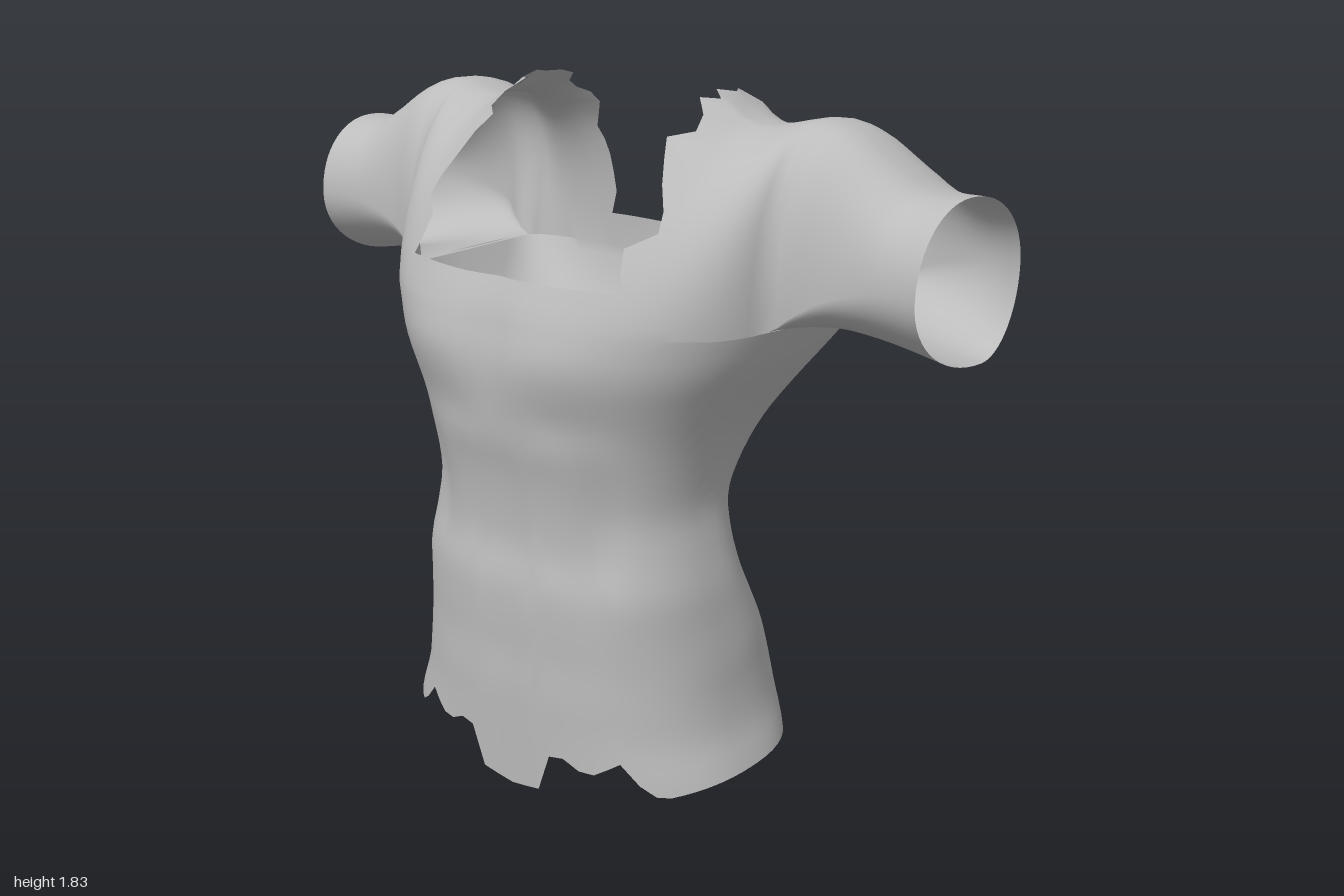
import * as THREE from 'three';
import { mergeVertices } from 'three/addons/utils/BufferGeometryUtils.js';

// Torso rings: height, half width, front z, back z, middle z, front and back roundness
const RINGS = [
  [0.0, 0.57, 0.365, -0.375, 0.0, 2.4, 2.2],
  [0.1, 0.545, 0.37, -0.42, 0.0, 2.4, 2.2],
  [0.2, 0.505, 0.375, -0.43, 0.0, 2.4, 2.2],
  [0.3, 0.485, 0.38, -0.41, 0.0, 2.4, 2.2],
  [0.4, 0.475, 0.38, -0.365, 0.0, 2.4, 2.2],
  [0.5, 0.46, 0.385, -0.3, 0.02, 2.4, 2.3],
  [0.6, 0.445, 0.385, -0.24, 0.05, 2.4, 2.4],
  [0.7, 0.42, 0.37, -0.215, 0.06, 2.4, 2.5],
  [0.8, 0.4, 0.375, -0.225, 0.05, 2.4, 2.5],
  [0.9, 0.41, 0.39, -0.28, 0.03, 2.4, 2.6],
  [1.0, 0.44, 0.415, -0.33, 0.0, 2.3, 2.9],
  [1.1, 0.49, 0.43, -0.37, -0.04, 2.3, 3.6],
  [1.2, 0.55, 0.435, -0.4, -0.07, 2.3, 5],
  [1.3, 0.6, 0.42, -0.425, -0.1, 2.3, 8],
];
// Shoulder and arm sections: x, top, widest height, bottom, ridge z, front and back roundness
const ARCHES = [
  [0.0, 1.83, 1.3, 1.3, -0.1, 1.45, 2.6],
  [0.3, 1.83, 1.3, 1.3, -0.1, 1.45, 2.6],
  [0.36, 1.785, 1.3, 1.3, -0.1, 1.5, 2.6],
  [0.44, 1.757, 1.3, 1.3, -0.11, 1.6, 2.6],
  [0.58, 1.782, 1.3, 1.3, -0.14, 1.9, 2.5],
  [0.64, 1.778, 1.345, 1.29, -0.14, 2.1, 2.4],
  [0.71, 1.75, 1.39, 1.285, -0.14, 2.2, 2.3],
  [0.8, 1.692, 1.42, 1.27, -0.14, 2.2, 2.2],
  [0.88, 1.648, 1.435, 1.255, -0.13, 2.1, 2.1],
  [0.985, 1.645, 1.44, 1.235, -0.13, 2.1, 2.1],
];
// Front and back z of the arm
const ARM = [[0.58, 0.07, -0.37], [0.7, 0.055, -0.42], [0.8, 0.05, -0.42], [0.9, 0.06, -0.405], [0.985, 0.075, -0.375]];
// Ragged lower hem: |x|, y
const HEM_FRONT = [[0, 0], [0.1, 0.02], [0.13, 0.13], [0.2, 0.14], [0.25, 0.1], [0.36, 0.16], [0.4, 0.08], [0.44, 0.07], [0.55, 0.1]];
const HEM_BACK = [[0, 0.03], [0.14, 0.01], [0.3, 0.08], [0.36, 0.13], [0.42, 0.08], [0.55, 0.1]];
// Ragged neck edge: sideways shift at each step up the arch
const JAG_FRONT = [0, 0, 0, 0, -0.02, -0.03, 0.03, 0.02, -0.01, -0.035, -0.06, -0.01, -0.02, -0.06, -0.02, -0.05];
const JAG_BACK = [0, 0, -0.02, -0.015, -0.01, 0, 0.015, -0.005, -0.025, -0.01, 0.02, 0.02, -0.02, -0.01, 0.015, -0.006];

const DEG = Math.PI / 180;
const TOP = 1.3, STEPS = 15;
const ARMPIT = 0.6 * Math.cos(15 * DEG);
const bump = (v, centre, width) => Math.exp(-(((v - centre) / width) ** 2));

// Reads a table at v, smoothly or in straight lines
function sample(table, v, smooth = true) {
  const last = table.length - 1;
  let k = 0;
  while (k < last - 1 && v > table[k + 1][0]) k++;
  const a = table[k], b = table[k + 1], p = table[Math.max(k - 1, 0)], q = table[Math.min(k + 2, last)];
  const span = b[0] - a[0];
  const t = THREE.MathUtils.clamp((v - a[0]) / span, 0, 1);
  return a.map((av, c) => {
    if (!smooth) return av + (b[c] - av) * t;
    const m0 = ((b[c] - p[c]) / (b[0] - p[0])) * span, m1 = ((q[c] - av) / (q[0] - a[0])) * span;
    const t2 = t * t, t3 = t2 * t;
    return (2 * t3 - 3 * t2 + 1) * av + (t3 - 2 * t2 + t) * m0 + (3 * t2 - 2 * t3) * b[c] + (t3 - t2) * m1;
  });
}

// Muscle relief added to z
function relief(x, y, side) {
  const ax = Math.abs(x);
  if (side > 0) {
    const midline = -0.018 * bump(ax, 0, 0.06) * (0.4 + 0.6 * bump(y, 1.3, 0.25));
    const chest = 0.012 * bump(ax, 0.2, 0.14) * bump(y, 1.24, 0.08) - 0.01 * bump(ax, 0.2, 0.16) * bump(y, 1.06, 0.06);
    const belly = -0.014 * bump(ax, 0.27, 0.05) * bump(y, 0.78, 0.2);
    return midline + chest + belly;
  }
  const cleft = 0.12 * bump(ax, 0, 0.065) * bump(y, 0.12, 0.26);
  const spine = 0.05 * bump(ax, 0, 0.09) * bump(y, 1.0, 0.3);
  const blades = -0.012 * bump(ax, 0.25, 0.1) * bump(y, 1.2, 0.15);
  return cleft + spine + blades;
}

// Depth of the torso ring, for x as a fraction of the half width
function ringZ(ring, fraction, side) {
  const [, , front, back, mid, nf, nb] = ring;
  const n = side > 0 ? nf : nb;
  const k = Math.max(0, 1 - Math.abs(fraction) ** n) ** (1 / n);
  return mid + ((side > 0 ? front : back) - mid) * k;
}

function torsoPoint(degrees, v) {
  const c = Math.cos(degrees * DEG), side = degrees <= 180 ? 1 : -1;
  const hem = sample(side > 0 ? HEM_FRONT : HEM_BACK, Math.abs(c) * 0.55, false)[1];
  const y = hem + (TOP - hem) * v;
  const ring = sample(RINGS, y), x = ring[1] * c;
  return [x, y, ringZ(ring, c, side) + relief(x, y, side)];
}

// Point on the arch over the shoulder, or around the arm, phi from -90 to 90 degrees
function archPoint(x, side, phi) {
  const ax = Math.abs(x);
  const [, top, base, bottom, crest, nf, nb] = sample(ARCHES, ax);
  const ring = RINGS[RINGS.length - 1];
  let edge = ringZ(ring, Math.min(ax, ARMPIT) / ring[1], side);
  const t = THREE.MathUtils.smoothstep(ax, ARMPIT, 0.7);
  edge += (sample(ARM, ax)[side > 0 ? 1 : 2] - edge) * t;
  const n = phi < 0 ? 2 : side > 0 ? nf : nb;
  const ridge = phi < 0 ? -0.23 : crest;
  const s = Math.abs(Math.sin(phi * DEG)) ** (2 / n), c = Math.max(0, Math.cos(phi * DEG)) ** (2 / n);
  const y = phi < 0 ? base - (base - bottom) * s : base + (top - base) * s;
  // Shoulder muscle swells where the arm joins
  const swell = (side > 0 ? 0.025 : -0.065) * bump(ax, 0.59, 0.09) * Math.max(0, Math.sin(2 * phi * DEG));
  const z = ridge + (edge - ridge) * c + swell + relief(ax, y, side) * (1 - t) * c;
  // The cuff is cut at a slight slant
  const slant = -0.06 * (z + 0.16) * THREE.MathUtils.smoothstep(ax, 0.7, 0.985);
  return [x + Math.sign(x) * slant, y, z];
}

export function createModel() {
  const positions = [], index = [];

  // Adds a sheet of quads; rows run up, columns run from the model's left to its right
  function addSheet(rows, cols, point, flip = false) {
    const start = positions.length / 3;
    for (let i = 0; i <= rows; i++) for (let j = 0; j <= cols; j++) positions.push(...point(i, j));
    for (let i = 0; i < rows; i++) {
      for (let j = 0; j < cols; j++) {
        const a = start + i * (cols + 1) + j, b = a + cols + 1;
        if (flip) index.push(a, a + 1, b, b, a + 1, b + 1);
        else index.push(a, b, a + 1, b, b + 1, a + 1);
      }
    }
  }

  // Trunk from the hem to armpit height
  addSheet(40, 72, (i, j) => torsoPoint(j * 5, i / 40));

  for (const side of [1, -1]) {
    const neck = side > 0 ? 55 : 60, jag = side > 0 ? JAG_FRONT : JAG_BACK;
    const ringX = (deg) => 0.6 * Math.cos(deg * DEG);

    // Upper chest and upper back below the neck opening
    const rows = side > 0 ? 3 : 1, cols = (180 - 2 * neck) / 5;
    addSheet(rows, cols, (i, j) => archPoint(ringX(neck + j * 5), side, i * 6), side < 0);

    for (const mirror of [1, -1]) {
      const flip = side * mirror < 0;
      // Shoulder with its ragged neck edge
      const n = (neck - 15) / 5;
      addSheet(STEPS, n, (i, j) => {
        const x = ringX(15 + j * 5) + (j === n ? jag[i] : 0);
        return archPoint(mirror * x, side, i * 6);
      }, flip);
      // Open upper arm
      addSheet(2 * STEPS, 14, (i, j) => {
        const x = 0.985 + (ARMPIT - 0.985) * (j / 14);
        return archPoint(mirror * x, side, (i - STEPS) * 6);
      }, flip);
    }
  }

  let geometry = new THREE.BufferGeometry();
  geometry.setAttribute('position', new THREE.Float32BufferAttribute(positions, 3));
  geometry.setIndex(index);
  geometry = mergeVertices(geometry, 1e-4);
  geometry.computeVertexNormals();

  const grey = new THREE.MeshStandardMaterial({ color: 0xbcbcbc, side: THREE.DoubleSide });
  grey.name = 'plain grey';
  const shell = new THREE.Mesh(geometry, grey);
  shell.name = 'torsoShell';
  const group = new THREE.Group();
  group.name = 'torso';
  group.add(shell);
  return group;
}
